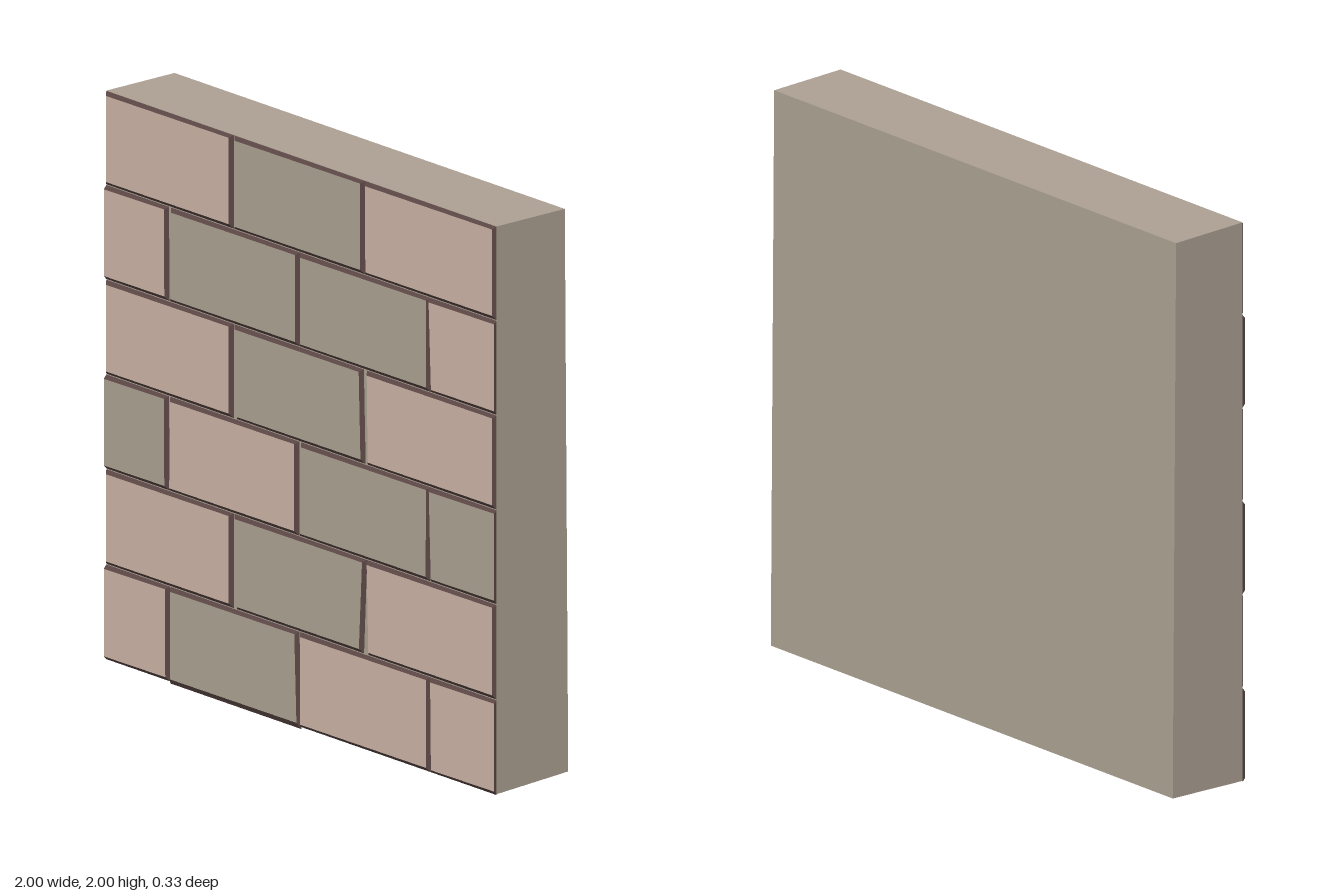
import * as THREE from 'three';

const TAN = 0xcbb3a5, TAUPE = 0xada193, DARK = 0x5a4644;
const WALL_Z = 0.15, FACE_Z = 0.162;

// Per course, bottom to top: brick colours, then for every joint the face edge
// [left brick at bottom, left brick at top, right brick at bottom, right brick at top]
const courses = [
  { colors: [TAN, TAUPE, TAN, TAN], joints: [[-0.685, -0.687, -0.66, -0.66], [-0.013, -0.024, 0.005, 0.006], [0.65, 0.65, 0.676, 0.672]] },
  { colors: [TAN, TAUPE, TAN], joints: [[-0.36, -0.36, -0.318, -0.33], [0.307, 0.323, 0.355, 0.347]] },
  { colors: [TAUPE, TAN, TAUPE, TAUPE], joints: [[-0.69, -0.692, -0.665, -0.66], [-0.025, -0.025, 0.004, 0.01], [0.648, 0.652, 0.675, 0.665]] },
  { colors: [TAN, TAUPE, TAN], joints: [[-0.36, -0.36, -0.318, -0.33], [0.315, 0.306, 0.352, 0.347]] },
  { colors: [TAN, TAUPE, TAUPE, TAN], joints: [[-0.69, -0.692, -0.66, -0.655], [-0.02, -0.02, 0.005, 0.006], [0.65, 0.652, 0.676, 0.664]] },
  { colors: [TAN, TAUPE, TAN], joints: [[-0.36, -0.36, -0.33, -0.33], [0.313, 0.313, 0.34, 0.338]] },
];
const seams = [0.005, 0.34, 0.674, 1.006, 1.338, 1.67, 2.0];

const material = (color) => new THREE.MeshStandardMaterial({ color, flatShading: true });

// Builds a mesh from quads whose corners run counter-clockwise
function quadMesh(name, quads, mat) {
  const geo = new THREE.BufferGeometry();
  const pos = quads.flatMap(([a, b, c, d]) => [a, b, c, a, c, d].flat());
  geo.setAttribute('position', new THREE.Float32BufferAttribute(pos, 3));
  geo.computeVertexNormals();
  const mesh = new THREE.Mesh(geo, mat);
  mesh.name = name;
  return mesh;
}

export function createModel() {
  const group = new THREE.Group();
  group.name = 'brickWall';
  const mats = Object.fromEntries([TAN, TAUPE, DARK].map((c) => [c, material(c)]));

  // Backing slab, a little thicker at the foot, with a sloping underside
  const profile = new THREE.Shape([[-WALL_Z, 0.01], [0.165, 0.025], [0.15, 2], [-WALL_Z, 2]]
    .map(([x, y]) => new THREE.Vector2(x, y)));
  const slabGeo = new THREE.ExtrudeGeometry(profile, { depth: 2, bevelEnabled: false });
  slabGeo.translate(0, 0, -1).rotateY(Math.PI / 2);
  // profile x now points along -z
  const slab = new THREE.Mesh(slabGeo, mats[TAUPE]);
  slab.name = 'slab';
  group.add(slab);

  courses.forEach(({ colors, joints }, row) => {
    const course = new THREE.Group();
    course.name = `course${row + 1}`;
    const halfEnds = colors.length === 4;
    const y0 = seams[row], y1 = seams[row + 1];
    colors.forEach((color, i) => {
      const first = i === 0, last = i === colors.length - 1;
      const endInset = halfEnds ? 0 : 0.012;
      const [lb, lt] = first ? [-1 + endInset, -1 + endInset] : joints[i - 1].slice(2);
      const [rb, rt] = last ? [1 - endInset, 1 - endInset] : joints[i];
      const low = row === 0 && i === 1 ? 0 : y0 + 0.002;
      const bevelL = first ? endInset : 0.012, bevelR = last ? endInset : 0.014;

      // Front outline and the wider outline where the brick meets the slab
      const face = [[lb, y0 + 0.014], [rb, y0 + 0.016], [rt, y1 - 0.011], [lt, y1 - 0.014]]
        .map(([x, y]) => [x, y, FACE_Z]);
      const foot = [[lb - bevelL, low], [rb + bevelR, low], [rt + bevelR, y1 - 0.001], [lt - bevelL, y1 - 0.001]]
        .map(([x, y]) => [x, y, WALL_Z + 0.001]);
      const edges = face.map((p, k) => {
        const n = (k + 1) % 4;
        return [foot[k], foot[n], face[n], p];
      });

      const brick = new THREE.Group();
      brick.name = `brick${i + 1}`;
      brick.add(quadMesh('brickFace', [face], mats[color]), quadMesh('brickEdges', edges, mats[DARK]));
      course.add(brick);
    });
    group.add(course);
  });
  return group;
}
